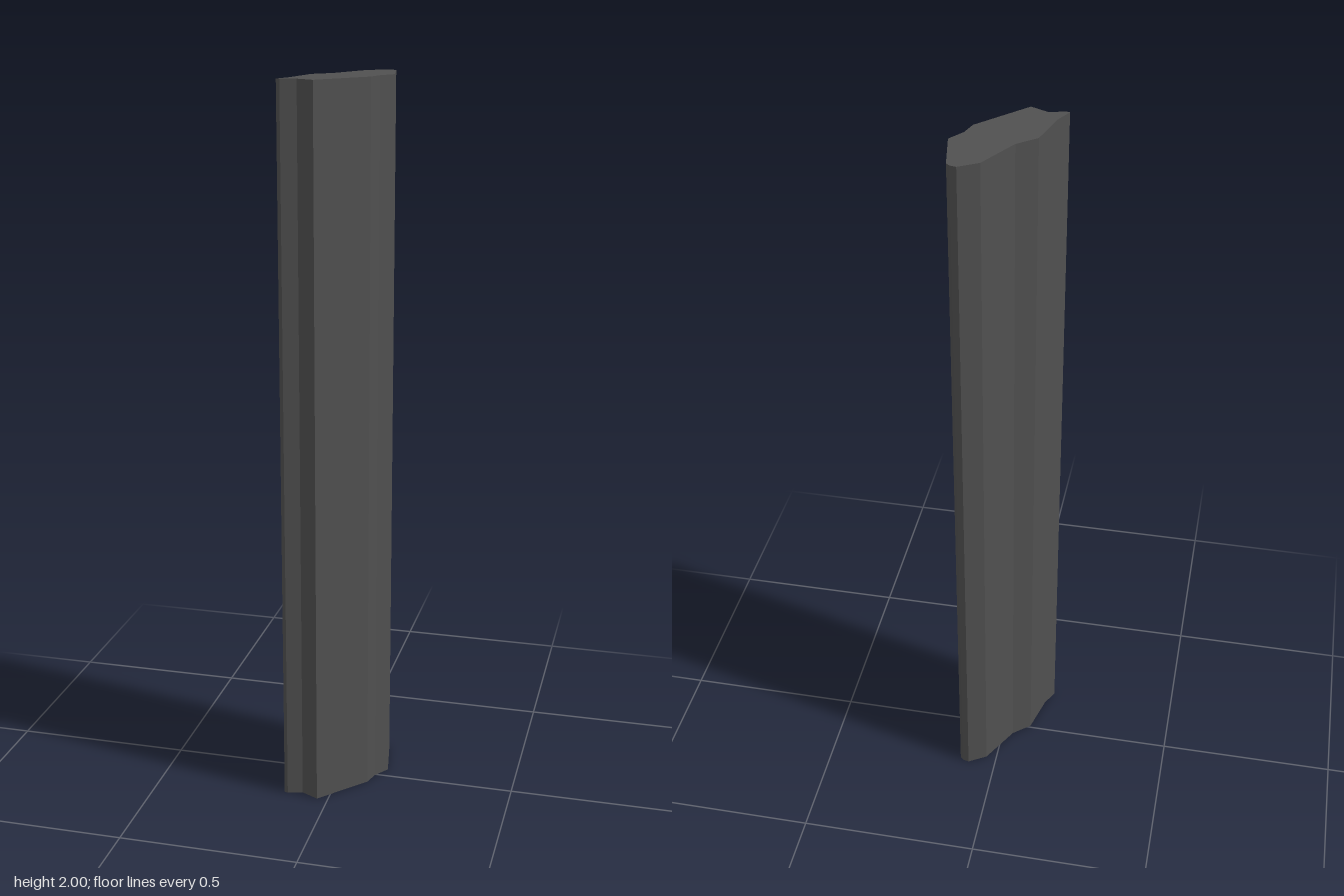
import * as THREE from 'three';

// Plan outline of the column as [x, z] corners
const OUTLINE = [
  [0.08, -0.175], [0.097, -0.171], [0.107, -0.162], [0.13, -0.037],
  [0.1, 0.005], [0.087, 0.047], [-0.031, 0.173], [-0.079, 0.15],
  [-0.12, 0.162], [-0.13, 0.159], [-0.107, 0.113], [-0.08, 0.007],
  [-0.031, -0.035], [0.03, -0.145],
];
const HEIGHT = 2;

export function createModel() {
  const group = new THREE.Group();
  group.name = 'column';

  // Extrude the plan outline, then stand it upright
  const shape = new THREE.Shape(OUTLINE.map(([x, z]) => new THREE.Vector2(x, -z)));
  const geometry = new THREE.ExtrudeGeometry(shape, { depth: HEIGHT, bevelEnabled: false });
  geometry.rotateX(-Math.PI / 2);

  const material = new THREE.MeshStandardMaterial({ color: 0x505050 });
  const shaft = new THREE.Mesh(geometry, material);
  shaft.name = 'shaft';
  group.add(shaft);
  return group;
}
